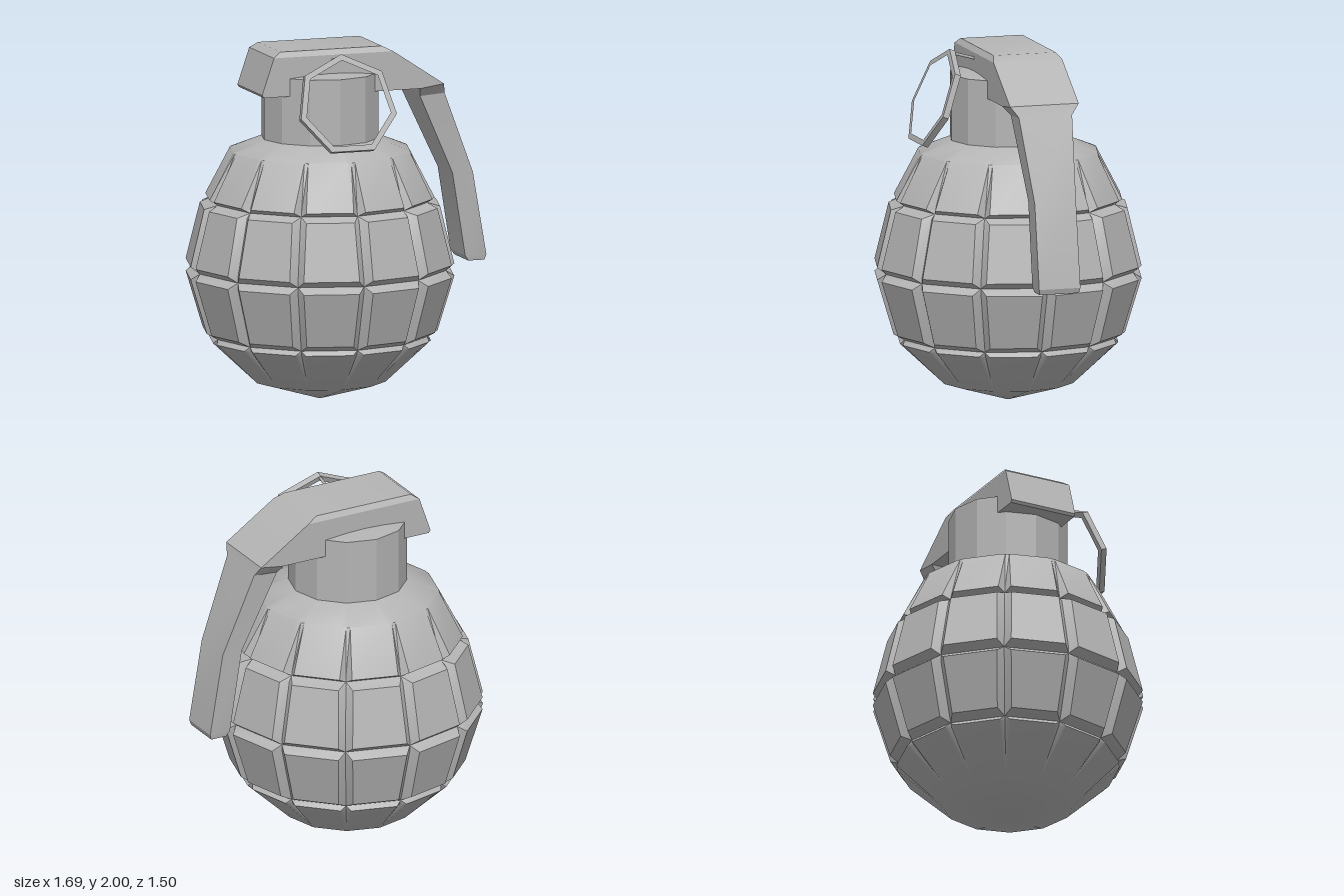
import * as THREE from 'three';
import { toCreasedNormals } from 'three/addons/utils/BufferGeometryUtils.js';
import { ConvexGeometry } from 'three/addons/geometries/ConvexGeometry.js';

const AXIS_X = -0.1; // the body stands left of the centre, the handle balances it
const SEGMENTS = 12;

// Skins a list of equal-length point loops; corners run counterclockwise seen along the loft
function loft(loops, capped) {
  const pos = [];
  const tri = (a, b, c) => {
    const area = b.clone().sub(a).cross(c.clone().sub(a)).length();
    if (area > 1e-7) pos.push(...a.toArray(), ...b.toArray(), ...c.toArray());
  };
  const n = loops[0].length;
  for (let j = 0; j < loops.length - 1; j++) {
    for (let i = 0; i < n; i++) {
      const k = (i + 1) % n;
      const a = loops[j][i], b = loops[j][k], c = loops[j + 1][k], d = loops[j + 1][i];
      tri(a, b, c);
      tri(a, c, d);
    }
  }
  if (capped) {
    const first = loops[0], last = loops[loops.length - 1];
    for (let i = 1; i < n - 1; i++) {
      tri(first[0], first[i + 1], first[i]);
      tri(last[0], last[i], last[i + 1]);
    }
  }
  const geo = new THREE.BufferGeometry();
  geo.setAttribute('position', new THREE.Float32BufferAttribute(pos, 3));
  geo.computeVertexNormals();
  return geo;
}

// Segmented body: each row is height, radius, half groove width, groove depth
function bodyGeometry() {
  const rows = [
    [0.005, 0, 0, 0],
    [0.11, 0.37, 0, 0],
    [0.345, 0.62, 0.03, 0.025],
    [0.37, 0.605, 0, 0],
    [0.40, 0.655, 0.04, 0.04],
    [0.71, 0.75, 0.04, 0.04],
    [0.745, 0.71, 0, 0],
    [0.78, 0.75, 0.04, 0.04],
    [1.10, 0.67, 0.04, 0.04],
    [1.125, 0.605, 0, 0],
    [1.15, 0.64, 0.035, 0.04],
    [1.41, 0.505, 0.022, 0],
    [1.48, 0.33, 0, 0],
  ];
  const loops = rows.map(([y, r, w, depth]) => {
    const loop = [];
    for (let s = 0; s < SEGMENTS; s++) {
      const t = (s / SEGMENTS) * Math.PI * 2;
      for (const side of [-1, 0, 1]) {
        const radius = side === 0 ? r - depth : r;
        const p = new THREE.Vector3(side * w, y, radius);
        loop.push(p.applyAxisAngle(new THREE.Vector3(0, 1, 0), t));
      }
    }
    return loop;
  });
  return toCreasedNormals(loft(loops, false), 0.73);
}

// Lever head: a chamfered block
function leverHeadGeometry() {
  const points = [];
  const lower = [[-0.515, 1.765], [-0.505, 1.75], [0.42, 1.75], [0.56, 1.77], [0.26, 1.97], [-0.445, 1.97]];
  const upper = [[-0.40, 2], [0.2, 2]];
  for (const side of [-1, 1]) {
    lower.forEach(([x, y]) => points.push(new THREE.Vector3(x, y, side * 0.2)));
    upper.forEach(([x, y]) => points.push(new THREE.Vector3(x, y, side * 0.18)));
  }
  return toCreasedNormals(new ConvexGeometry(points), 0.58);
}

// Handle: sections of outer x, y, inner x, y and half width, from bottom to top
function handleGeometry() {
  const sections = [
    [0.83, 0.75, 0.735, 0.75, 0.115],
    [0.84, 0.78, 0.715, 0.78, 0.12],
    [0.76, 1.25, 0.64, 1.25, 0.12],
    [0.58, 1.71, 0.435, 1.70, 0.155],
    [0.56, 1.77, 0.42, 1.75, 0.2],
  ];
  const loops = sections.map(([ox, oy, ix, iy, w]) => [
    new THREE.Vector3(ix, iy, w),
    new THREE.Vector3(ox, oy, w),
    new THREE.Vector3(ox, oy, -w),
    new THREE.Vector3(ix, iy, -w),
  ]);
  return toCreasedNormals(loft(loops, true), 0.3);
}

// Seven-sided pull ring, hanging from its top corner
function ringGeometry() {
  const outer = 0.29, inner = 0.255, depth = 0.035;
  const corners = (r) => Array.from({ length: 7 }, (_, i) => {
    const t = (i / 7) * Math.PI * 2;
    return new THREE.Vector2(Math.sin(t) * r, Math.cos(t) * r - outer);
  });
  const shape = new THREE.Shape(corners(outer));
  shape.holes.push(new THREE.Path(corners(inner)));
  const geo = new THREE.ExtrudeGeometry(shape, { depth, bevelEnabled: false });
  return geo.translate(0, 0, -depth / 2);
}

export function createModel() {
  const group = new THREE.Group();
  const grey = new THREE.MeshStandardMaterial({ color: 0xb4b4b4 });
  grey.name = 'grey';

  const add = (name, geometry, x = 0, y = 0, z = 0) => {
    const mesh = new THREE.Mesh(geometry, grey);
    mesh.name = name;
    mesh.position.set(x, y, z);
    group.add(mesh);
    return mesh;
  };

  add('body', bodyGeometry(), AXIS_X);

  // Neck with a shallow conical cap
  const neckProfile = [[0.33, 1.46], [0.33, 1.85], [0, 1.89]].map(([r, y]) => new THREE.Vector2(r, y));
  const neck = new THREE.LatheGeometry(neckProfile, SEGMENTS).toNonIndexed();
  add('neck', toCreasedNormals(neck, 0.3), AXIS_X);

  add('leverHead', leverHeadGeometry());
  add('leverHandle', handleGeometry());

  // Pull ring tilted outwards, joined to the lever head by a thin pin
  const ring = add('pullRing', ringGeometry(), AXIS_X, 1.99, 0.325);
  ring.rotation.x = -0.37;

  const pinPath = new THREE.LineCurve3(new THREE.Vector3(0, 1.93, 0.17), new THREE.Vector3(0, 1.975, 0.33));
  add('pin', new THREE.TubeGeometry(pinPath, 1, 0.009, 6, false), AXIS_X);

  return group;
}
